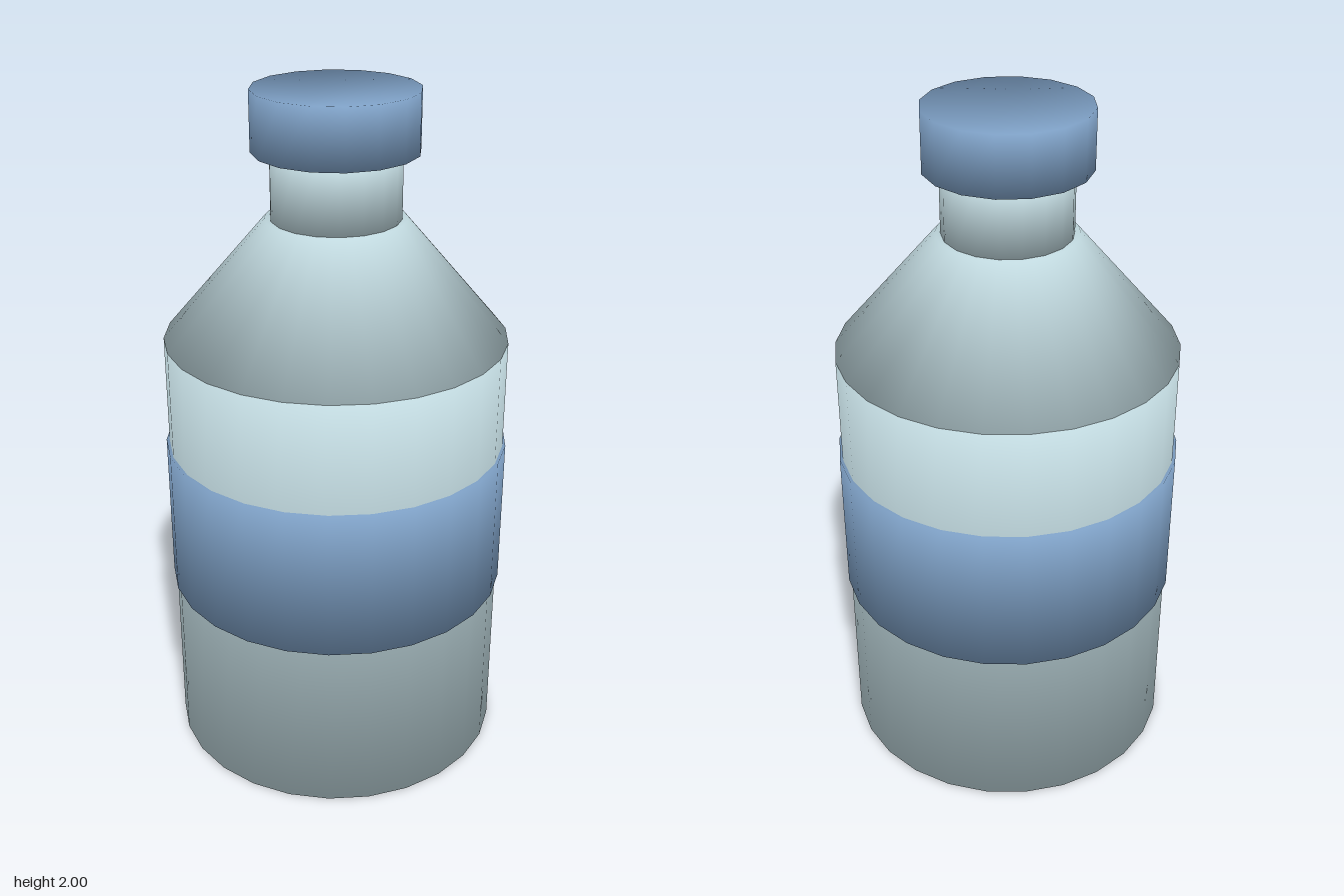
import * as THREE from 'three';

// Closed frustum standing between y0 and y1, with shared rim vertices so the
// shading runs softly over the edges. Rim normals blend the adjoining faces,
// weighted by their corner angles.
function softFrustum(r0, r1, y0, y1, sides) {
  const step = (Math.PI * 2) / sides;
  const half = step / 2;
  const run = (r0 - r1) * Math.cos(half);
  const slant = Math.hypot(run, y1 - y0);
  const lean = Math.atan(((r0 - r1) * Math.sin(half)) / slant);
  const lidAngle = Math.PI - step;

  const positions = [];
  const normals = [];
  const index = [];
  for (const [r, y, dir] of [[r0, y0, -1], [r1, y1, 1]]) {
    const wallAngle = Math.PI + 2 * lean * dir;
    const out = (wallAngle * Math.cos(half) * (y1 - y0)) / slant;
    const up = (wallAngle * run) / slant + dir * lidAngle;
    const len = Math.hypot(out, up);
    for (let i = 0; i < sides; i++) {
      const s = Math.sin(i * step);
      const c = Math.cos(i * step);
      positions.push(r * s, y, r * c);
      normals.push((out * s) / len, up / len, (out * c) / len);
    }
  }
  // Wall
  for (let i = 0; i < sides; i++) {
    const j = (i + 1) % sides;
    index.push(i, j, sides + j, i, sides + j, sides + i);
  }
  // Flat ends
  for (let i = 1; i < sides - 1; i++) {
    index.push(0, i + 1, i);
    index.push(sides, sides + i, sides + i + 1);
  }

  const geometry = new THREE.BufferGeometry();
  geometry.setAttribute('position', new THREE.Float32BufferAttribute(positions, 3));
  geometry.setAttribute('normal', new THREE.Float32BufferAttribute(normals, 3));
  geometry.setIndex(index);
  return geometry;
}

export function createModel() {
  const glass = new THREE.MeshStandardMaterial({ color: 0xc0d8de });
  glass.name = 'pale glass';
  const blue = new THREE.MeshStandardMaterial({ color: 0x7d9fc4 });
  blue.name = 'blue';

  const bottle = new THREE.Group();
  bottle.name = 'bottle';

  // name, material, bottom radius, top radius, bottom y, top y, sides
  const parts = [
    ['body', glass, 0.496, 0.496, 0, 1.295, 26],
    ['labelBand', blue, 0.505, 0.505, 0.525, 0.97, 26],
    ['shoulder', glass, 0.496, 0.2, 1.295, 1.642, 26],
    ['neck', glass, 0.185, 0.185, 1.642, 1.83, 18],
    ['cap', blue, 0.235, 0.235, 1.83, 2, 16],
  ];
  for (const [name, material, ...size] of parts) {
    const mesh = new THREE.Mesh(softFrustum(...size), material);
    mesh.name = name;
    bottle.add(mesh);
  }
  return bottle;
}
